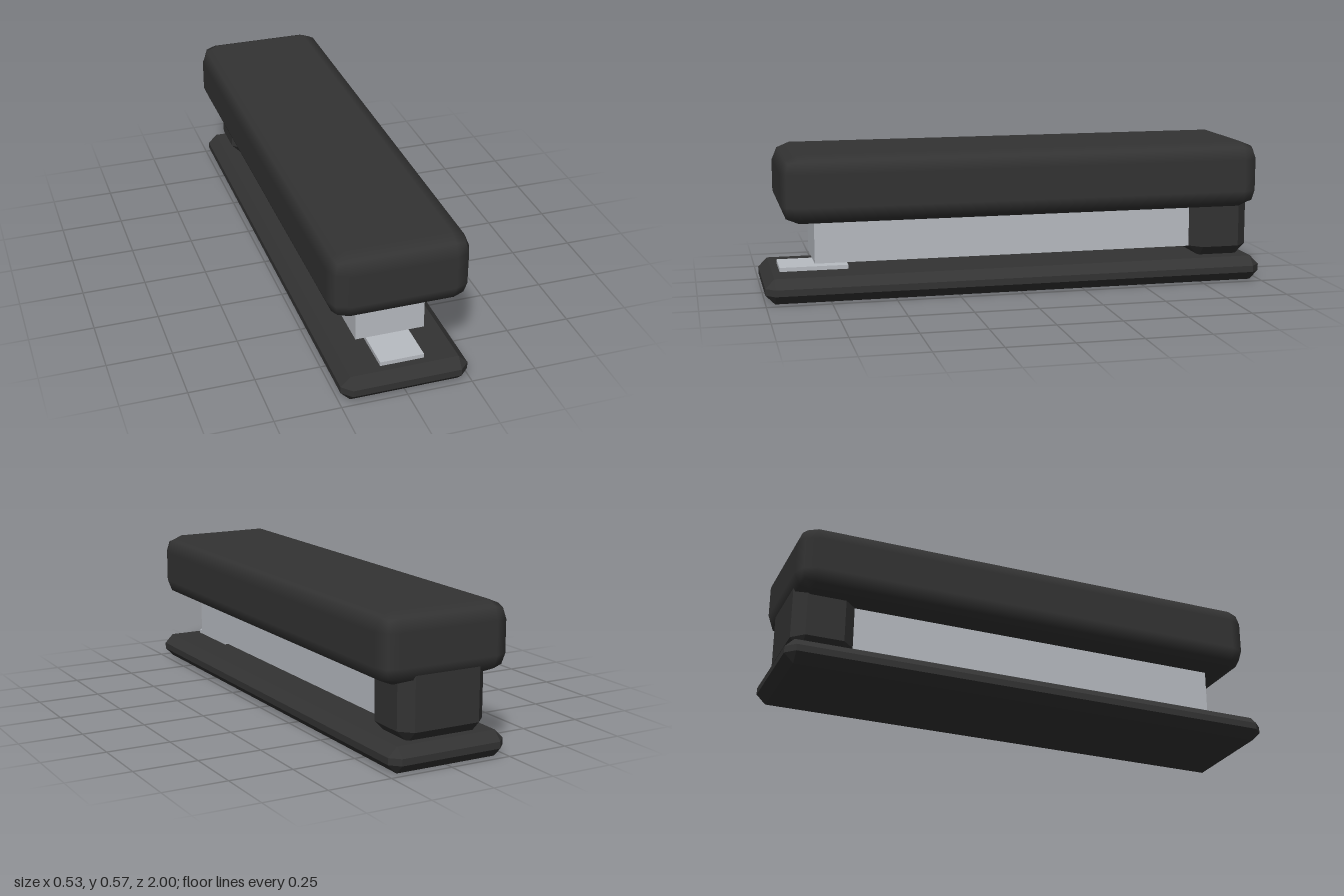
import * as THREE from 'three';
import { RoundedBoxGeometry } from 'three/addons/geometries/RoundedBoxGeometry.js';
import { ConvexGeometry } from 'three/addons/geometries/ConvexGeometry.js';

// Box given by its min and max, with every edge cut by one flat chamfer c
function chamferBox([x0, y0, z0], [x1, y1, z1], c) {
  const half = new THREE.Vector3(x1 - x0, y1 - y0, z1 - z0).multiplyScalar(0.5);
  const points = [];
  for (const sx of [-1, 1]) for (const sy of [-1, 1]) for (const sz of [-1, 1]) {
    for (const axis of ['x', 'y', 'z']) {
      const p = half.clone().subScalar(c);
      p[axis] += c;
      points.push(p.multiply(new THREE.Vector3(sx, sy, sz)));
    }
  }
  return new ConvexGeometry(points).translate((x0 + x1) / 2, (y0 + y1) / 2, (z0 + z1) / 2);
}

function plainBox([x0, y0, z0], [x1, y1, z1]) {
  return new THREE.BoxGeometry(x1 - x0, y1 - y0, z1 - z0)
    .translate((x0 + x1) / 2, (y0 + y1) / 2, (z0 + z1) / 2);
}

export function createModel() {
  const group = new THREE.Group();
  const black = new THREE.MeshStandardMaterial({ color: 0x333333 });
  black.name = 'black plastic';
  const steel = new THREE.MeshStandardMaterial({ color: 0xb8bcc2 });
  steel.name = 'steel';

  const add = (name, geometry, material) => {
    const mesh = new THREE.Mesh(geometry, material);
    mesh.name = name;
    group.add(mesh);
  };

  // Long base with chamfered edges
  add('base', chamferBox([-0.243, 0, -1], [0.243, 0.098, 1], 0.036), black);

  // Rear post joining the base and the top arm
  add('hingePost', chamferBox([-0.181, 0.09, -0.966], [0.181, 0.4, -0.724], 0.046), black);

  // Soft-edged top arm
  add('topArm', new RoundedBoxGeometry(0.534, 0.265, 1.915, 1, 0.07)
    .translate(0, 0.4375, -0.0225), black);

  // Staple rail below the arm
  add('stapleRail', plainBox([-0.133, 0.135, -0.8], [0.133, 0.35, 0.803]), steel);

  // Small anvil plate at the front of the base
  add('anvilPlate', plainBox([-0.084, 0.09, 0.667], [0.084, 0.114, 0.935]), steel);

  return group;
}
